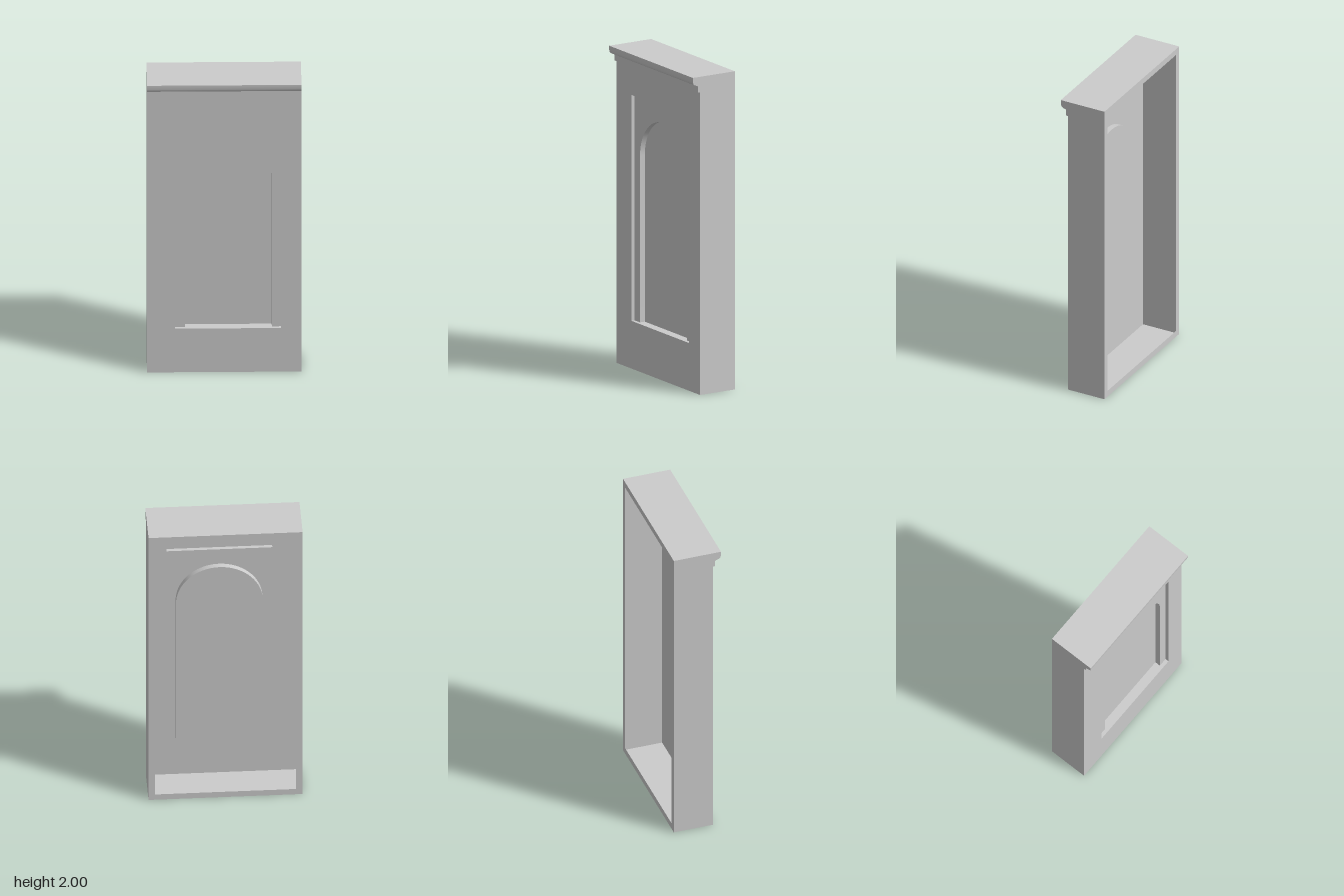
import * as THREE from 'three';
import { toCreasedNormals } from 'three/addons/utils/BufferGeometryUtils.js';

const W = 0.47, BACK = -0.152, FRONT = 0.1;
const material = new THREE.MeshStandardMaterial({ color: 0xcccccc, side: THREE.DoubleSide });
const v = (x, y) => new THREE.Vector2(x, y);

function part(group, name, geometry) {
  const mesh = new THREE.Mesh(geometry, material);
  mesh.name = name;
  group.add(mesh);
}

// Flat sheet facing +z
function sheet(shape, z) {
  return new THREE.ShapeGeometry(shape, 24).translate(0, 0, z);
}

// Open outline drawn out along z from z0 to z1
function ribbon(points, z0, z1) {
  const position = [];
  for (let i = 0; i < points.length - 1; i++) {
    const a = points[i], b = points[i + 1];
    position.push(a.x, a.y, z1, a.x, a.y, z0, b.x, b.y, z0);
    position.push(a.x, a.y, z1, b.x, b.y, z0, b.x, b.y, z1);
  }
  const geometry = new THREE.BufferGeometry();
  geometry.setAttribute('position', new THREE.Float32BufferAttribute(position, 3));
  return toCreasedNormals(geometry, 0.6);
}

// Profile of (z, y) points turned to run across the full width
const acrossWidth = points => ribbon(points, -W, W).rotateY(-Math.PI / 2);

function rectangle(x0, x1, y0, y1) {
  return new THREE.Shape([v(x0, y0), v(x1, y0), v(x1, y1), v(x0, y1)]);
}

export function createModel() {
  const group = new THREE.Group();
  group.name = 'nichePanel';

  // Recess limits and arch
  const sill = 0.3, rx0 = -0.3, rx1 = 0.345, rTop = 1.72;
  const cx = 0.025, r = 0.265, spring = 1.345;
  const recessZ = 0.077, nicheZ = 0.042;

  // Cornice moulding line, bottom to top
  const cove = new THREE.SplineCurve([
    v(0.114, 1.94), v(0.12, 1.945), v(0.135, 1.95), v(0.147, 1.958), v(0.152, 1.975),
  ]).getPoints(14);
  const moulding = [v(FRONT, 1.903), v(0.114, 1.903), ...cove, v(0.152, 2)];
  part(group, 'cornice', acrossWidth(moulding));

  // Thin outer case
  part(group, 'top', acrossWidth([v(0.152, 2), v(BACK, 2)]));
  part(group, 'bottom', acrossWidth([v(BACK, 0), v(FRONT, 0)]));
  const sideShape = new THREE.Shape([v(BACK, 0), v(FRONT, 0), ...moulding, v(BACK, 2)]);
  for (const [name, x] of [['leftSide', W], ['rightSide', -W]]) {
    part(group, name, sheet(sideShape, 0).rotateY(-Math.PI / 2).translate(x, 0, 0));
  }

  // Narrow rim around the open back
  const rim = rectangle(-W, W, 0, 2);
  rim.holes.push(rectangle(-W + 0.04, W - 0.04, 0.04, 1.96));
  part(group, 'backRim', sheet(rim, BACK));

  // Front face with rectangular opening and its step
  const recess = rectangle(rx0, rx1, sill, rTop);
  const face = rectangle(-W, W, 0, 1.903);
  face.holes.push(recess);
  part(group, 'frontFace', sheet(face, FRONT));
  const recessLine = recess.getPoints();
  part(group, 'recessStep', ribbon([...recessLine, recessLine[0]], recessZ, FRONT));

  // Arched back of the niche and its step
  const arch = new THREE.Shape();
  arch.moveTo(cx + r, sill);
  arch.lineTo(cx + r, spring);
  arch.absarc(cx, spring, r, 0, Math.PI, false);
  arch.lineTo(cx - r, sill);
  const archLine = arch.getPoints(24);
  part(group, 'nicheBack', sheet(arch, nicheZ));
  part(group, 'nicheStep', ribbon([...archLine, archLine[0]], nicheZ, recessZ));

  // Sunken surround, open at the bottom around the arch
  const surround = new THREE.Shape([
    v(rx1, sill), v(rx1, rTop), v(rx0, rTop), v(rx0, sill), ...archLine.slice().reverse(),
  ]);
  part(group, 'recessSurround', sheet(surround, recessZ));

  return group;
}
